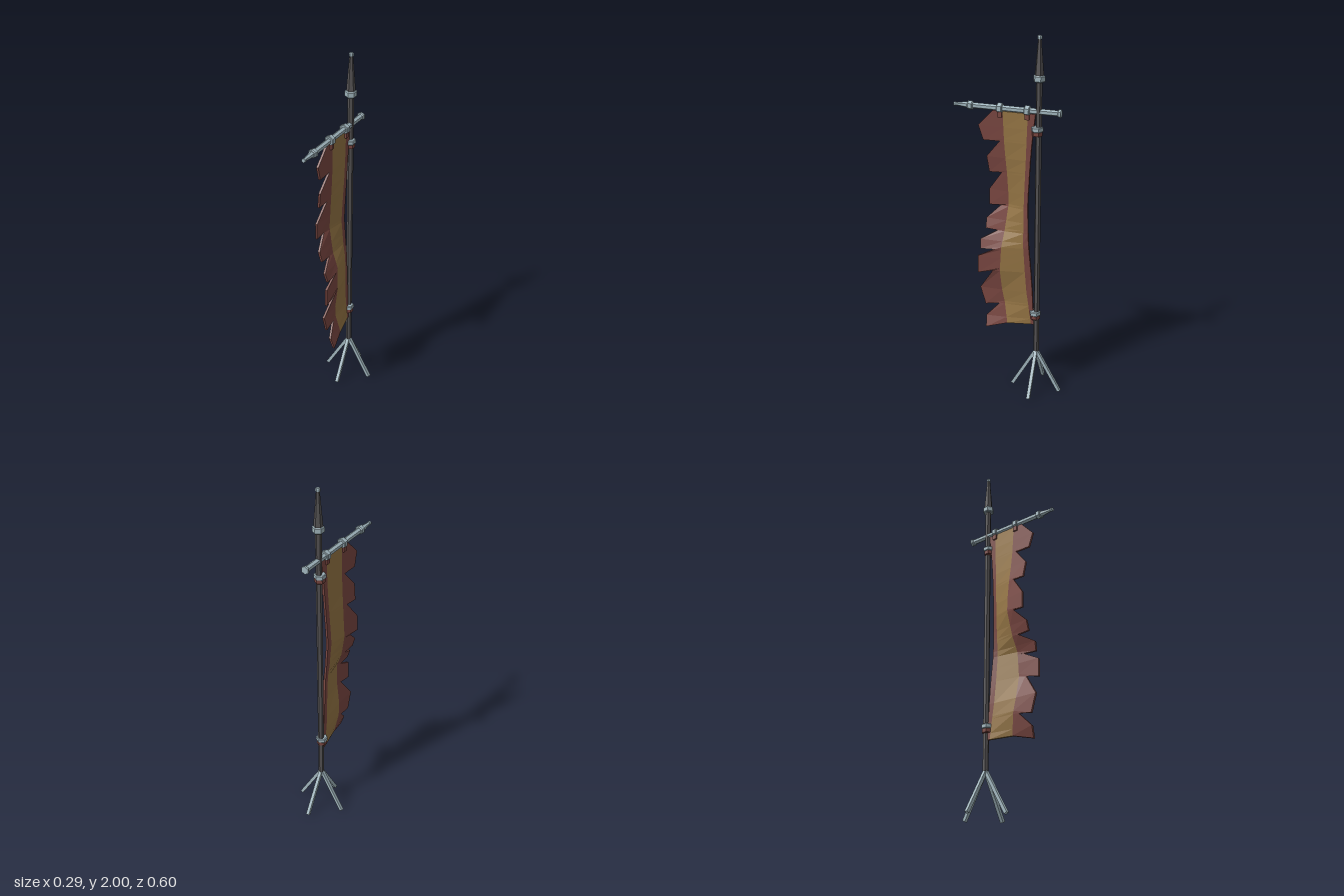
import * as THREE from 'three';

const mat = (name, color) => {
  const m = new THREE.MeshStandardMaterial({ color, flatShading: true });
  m.name = name;
  return m;
};

const POLE_Z = -0.157, BAR_Y = 1.615, CLOTH_HALF = 0.006;

// Piecewise-linear lookup in rows [y, value], ordered from top to bottom
function lookup(rows, y) {
  for (let i = 1; i < rows.length; i++) {
    const [y0, v0] = rows[i - 1], [y1, v1] = rows[i];
    if (y >= y1) return v0 + (v1 - v0) * Math.min(1, Math.max(0, (y0 - y) / (y0 - y1)));
  }
  return rows[rows.length - 1][1];
}

// Cloth seams as [y, z], and sideways billow as [y, x]
const HEM = [[1.6, -0.14], [1.4, -0.118], [1.1, -0.1], [0.9, -0.108], [0.65, -0.13], [0.4, -0.142]];
const BAND_BACK = [[1.6, -0.1], [1.35, -0.09], [1.1, -0.077], [0.9, -0.08], [0.6, -0.1], [0.4, -0.128]];
const BAND_FRONT = [[1.6, 0.035], [1.4, 0.028], [1.2, 0.014], [1.07, 0.015], [0.85, 0.035], [0.65, 0.045], [0.4, 0]];
const BILLOW = [[1.6, 0], [1.4, -0.008], [1.2, -0.034], [1.08, -0.042], [0.93, -0.002], [0.86, 0.034],
  [0.7, 0.036], [0.55, 0.008], [0.48, 0.018], [0.37, 0.052]];

// Torn edge: tip top, tip bottom and notch for each tatter, as [z, y]
const TATTERS = [
  [[0.17, 1.515], [0.145, 1.435], [0.055, 1.437]],
  [[0.13, 1.345], [0.12, 1.255], [0.05, 1.26]],
  [[0.125, 1.155], [0.125, 1.065], [0.06, 1.07]],
  [[0.135, 0.995], [0.135, 0.94], [0.065, 0.937]],
  [[0.155, 0.885], [0.15, 0.835], [0.07, 0.84]],
  [[0.165, 0.79], [0.165, 0.69], [0.08, 0.715]],
  [[0.16, 0.595], [0.13, 0.495], [0.05, 0.51]],
];

// Rows of the cloth: y at the seams plus the matching torn-edge point
function clothRows() {
  const rows = [{ y: 1.6, edge: [0.09, 1.6] }];
  for (const [top, tip, notch] of TATTERS) {
    rows.push({ y: top[1], edge: top });
    rows.push({ y: notch[1] + 0.015, edge: tip });
    rows.push({ y: notch[1], edge: notch });
  }
  rows.push({ y: 0.435, edge: [0.12, 0.435] }, { y: 0.402, edge: [0.115, 0.373] });
  return rows;
}

// Closed slab of cloth between two edges; each edge maps a row to [z, y]
function clothStrip(rows, inner, outer) {
  const pos = [];
  const point = ([z, y], side) => {
    const reach = Math.min(1.1, Math.max(0, (z + 0.13) / 0.19));
    return [lookup(BILLOW, y) * reach + side * CLOTH_HALF, y, z];
  };
  const loops = rows.map((r) => {
    const a = inner(r), b = outer(r);
    return [point(a, -1), point(b, -1), point(b, 1), point(a, 1)];
  });
  const tri = (...p) => p.forEach((q) => pos.push(...q));
  for (let i = 0; i < loops.length - 1; i++) {
    const u = loops[i], d = loops[i + 1];
    for (let k = 0; k < 4; k++) {
      const n = (k + 1) % 4;
      tri(u[k], d[k], u[n]);
      tri(u[n], d[k], d[n]);
    }
  }
  const t = loops[0], b = loops[loops.length - 1];
  tri(t[0], t[1], t[2]);
  tri(t[0], t[2], t[3]);
  tri(b[0], b[2], b[1]);
  tri(b[0], b[3], b[2]);
  const g = new THREE.BufferGeometry();
  g.setAttribute('position', new THREE.Float32BufferAttribute(pos, 3));
  g.computeVertexNormals();
  return g;
}

// Six-sided turned part from [radius, height] pairs
function hexTurned(profile) {
  const g = new THREE.LatheGeometry(profile.map(([r, h]) => new THREE.Vector2(r, h)), 6).toNonIndexed();
  g.computeVertexNormals();
  return g;
}

// Chamfered ring profile around height h
const ring = (r, h, half, c = 0.005) => [
  [0, h - half], [r - c, h - half], [r, h - half + c], [r, h + half - c], [r - c, h + half], [0, h + half],
];

export function createModel() {
  const steel = mat('pale steel', 0xa0b5bd);
  const iron = mat('dark iron', 0x545253);
  const red = mat('dull red cloth', 0x7a4741);
  const tan = mat('tan cloth', 0x967645);

  const model = new THREE.Group();
  model.name = 'bannerStand';
  const add = (parent, name, geometry, material, x = 0, y = 0, z = 0) => {
    const m = new THREE.Mesh(geometry, material);
    m.name = name;
    m.position.set(x, y, z);
    parent.add(m);
    return m;
  };

  // Upright pole and spike
  const pole = new THREE.Group();
  pole.name = 'pole';
  pole.position.z = POLE_Z;
  model.add(pole);
  add(pole, 'shaft', hexTurned([[0, 0.23], [0.016, 0.24], [0.016, 1.78], [0, 1.78]]), iron);
  add(pole, 'spikeCollar', hexTurned(ring(0.031, 1.785, 0.017)), steel);
  add(pole, 'spike', hexTurned([[0, 1.8], [0.024, 1.8], [0.009, 1.982], [0, 1.982]]), iron);
  add(pole, 'spikeTip', hexTurned([[0, 1.98], [0.012, 1.982], [0.012, 1.996], [0.009, 2], [0, 2]]), steel);

  // Clasps that hold the cloth to the pole
  for (const y of [1.512, 0.464]) {
    add(pole, 'poleClasp', hexTurned(ring(0.032, y + 0.011, 0.013, 0.004)), steel, 0, 0, 0.008);
    add(pole, 'poleClaspBand', hexTurned(ring(0.028, y - 0.012, 0.012, 0.002)), red, 0, 0, 0.008);
  }

  // Four splayed legs
  const legs = new THREE.Group();
  legs.name = 'legs';
  legs.position.z = POLE_Z;
  model.add(legs);
  const top = new THREE.Vector3(0, 0.245, 0), foot = new THREE.Vector3(0.137, 0.005, 0);
  const span = foot.clone().sub(top);
  for (let i = 0; i < 4; i++) {
    const pivot = new THREE.Group();
    pivot.name = 'leg';
    pivot.rotation.y = (i * Math.PI) / 2;
    legs.add(pivot);
    const leg = add(pivot, 'legBar', new THREE.BoxGeometry(0.018, span.length(), 0.018), steel);
    leg.position.copy(top).addScaledVector(span, 0.5);
    leg.rotation.z = Math.atan2(span.x, -span.y);
  }

  // Crossbar, turned along z
  const bar = new THREE.Group();
  bar.name = 'crossbar';
  bar.position.y = BAR_Y;
  bar.rotation.x = Math.PI / 2;
  model.add(bar);
  add(bar, 'barShaft', hexTurned([[0, -0.262], [0.0155, -0.262], [0.0155, 0.2], [0, 0.2]]), steel);
  add(bar, 'barEndCap', hexTurned([[0, -0.274], [0.022, -0.274], [0.022, -0.263], [0.016, -0.257], [0, -0.257]]), steel);
  add(bar, 'barCollar', hexTurned(ring(0.024, 0.211, 0.015)), steel);
  add(bar, 'barPoint', hexTurned([[0, 0.222], [0.017, 0.222], [0.008, 0.292], [0, 0.292]]), steel);
  add(bar, 'barTip', hexTurned([[0, 0.29], [0.011, 0.291], [0.011, 0.302], [0, 0.302]]), steel);

  // Loops that hang the cloth from the crossbar
  for (const z of [-0.097, 0.05]) {
    add(bar, 'barClip', hexTurned(ring(0.027, z, 0.014, 0.003)), steel);
    add(model, 'clothLoop', new THREE.BoxGeometry(0.032, 0.04, 0.024), red, 0, BAR_Y - 0.026, z);
  }

  // Banner cloth in three strips
  const banner = new THREE.Group();
  banner.name = 'banner';
  model.add(banner);
  const rows = clothRows();
  const seam = (table) => (r) => [lookup(table, r.y), r.y];
  add(banner, 'poleHem', clothStrip(rows, seam(HEM), seam(BAND_BACK)), red);
  add(banner, 'centreBand', clothStrip(rows, seam(BAND_BACK), seam(BAND_FRONT)), tan);
  add(banner, 'tornEdge', clothStrip(rows, seam(BAND_FRONT), (r) => r.edge), red);

  return model;
}
